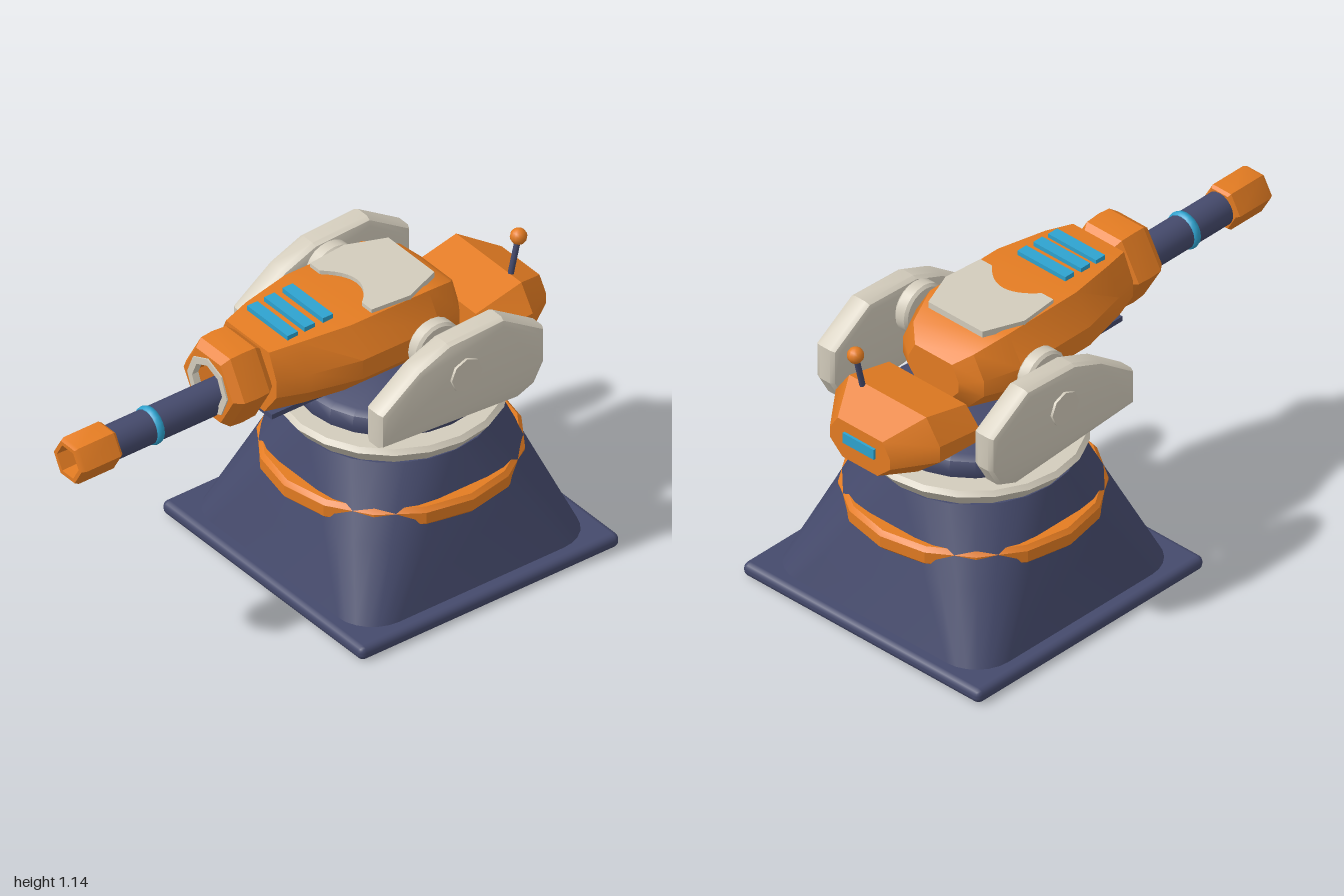
import * as THREE from 'three';
import { toCreasedNormals } from 'three/addons/utils/BufferGeometryUtils.js';
import { RoundedBoxGeometry } from 'three/addons/geometries/RoundedBoxGeometry.js';

const mat = (name, color) => {
  const m = new THREE.MeshStandardMaterial({ color });
  m.name = name;
  return m;
};

// Skin between 2D rings placed along z, closed at both ends.
function loft(sections, crease = 0.5) {
  const pos = [], idx = [], n = sections[0].ring.length;
  sections.forEach(({ z, ring }) => ring.forEach(([x, y]) => pos.push(x, y, z)));
  for (let s = 0; s < sections.length - 1; s++) {
    for (let i = 0; i < n; i++) {
      const a = s * n + i, b = s * n + (i + 1) % n;
      idx.push(a, b, b + n, a, b + n, a + n);
    }
  }
  const top = (sections.length - 1) * n;
  for (let i = 1; i < n - 1; i++) idx.push(0, i + 1, i, top, top + i, top + i + 1);
  const g = new THREE.BufferGeometry();
  g.setAttribute('position', new THREE.Float32BufferAttribute(pos, 3));
  g.setIndex(idx);
  return toCreasedNormals(g, crease);
}

// Counterclockwise square of half size h with rounded corners of radius r.
function roundedSquare(h, r, steps = 6) {
  const ring = [];
  for (let c = 0; c < 4; c++) {
    const mid = Math.PI / 4 + c * Math.PI / 2;
    for (let i = 0; i <= steps; i++) {
      const a = c * Math.PI / 2 + (i / steps) * Math.PI / 2;
      ring.push([Math.sign(Math.cos(mid)) * (h - r) + r * Math.cos(a),
        Math.sign(Math.sin(mid)) * (h - r) + r * Math.sin(a)]);
    }
  }
  return ring;
}

// Eight-sided hull section of half width w between heights y0 and y1.
function hullRing(w, y0, y1) {
  const half = [[0.58, 0], [1, 0.36], [1, 0.62], [0.74, 1]];
  const right = half.map(([x, y]) => [x * w, y0 + y * (y1 - y0)]);
  return [...right, ...right.map(([x, y]) => [-x, y]).reverse()];
}

const hull = (rows) => loft(rows.map(([z, w, y0, y1]) => ({ z, ring: hullRing(w, y0, y1) })));

// Turned part from [radius, height] points.
const turned = (points, sides, crease = 0.5) => toCreasedNormals(
  new THREE.LatheGeometry(points.map(([r, y]) => new THREE.Vector2(r, y)), sides), crease);

// Turned part pointing along z, with a corner on the x axis.
const turnedZ = (points, sides, crease) =>
  turned(points, sides, crease).rotateY(Math.PI / 2).rotateX(Math.PI / 2);

export function createModel() {
  const model = new THREE.Group();
  model.name = 'turret';
  const navy = mat('navy', 0x454a6c);
  const orange = mat('orange', 0xe47c22);
  const cream = mat('cream', 0xd3ccbc);
  const cyan = mat('cyan', 0x2ea3cf);
  const add = (name, geometry, material, x = 0, y = 0, z = 0) => {
    const mesh = new THREE.Mesh(geometry, material);
    mesh.name = name;
    mesh.position.set(x, y, z);
    model.add(mesh);
    return mesh;
  };
  const baseZ = -0.42;

  // Base and pedestal
  add('basePlate', new RoundedBoxGeometry(1.14, 0.055, 1.14, 2, 0.024), navy, 0, 0.0275, baseZ);
  add('pedestal', loft([
    { z: 0.05, ring: roundedSquare(0.515, 0.15) },
    { z: 0.3, ring: roundedSquare(0.442, 0.255) },
    { z: 0.552, ring: roundedSquare(0.37, 0.36) },
  ]).rotateX(-Math.PI / 2), navy, 0, 0, baseZ);
  add('pedestalBand', turned([
    [0.39, 0.335], [0.455, 0.335], [0.47, 0.35], [0.47, 0.395], [0.455, 0.412], [0.39, 0.412],
  ], 16, 0.3), orange, 0, 0, baseZ);
  add('collarRing', turned([
    [0.29, 0.55], [0.366, 0.55], [0.41, 0.607], [0.395, 0.625], [0.31, 0.625], [0.29, 0.55],
  ], 20), cream, 0, 0, baseZ);
  add('turntable', turned([
    [0, 0.645], [0.345, 0.645], [0.352, 0.672], [0.342, 0.71], [0.315, 0.726], [0, 0.726],
  ], 24, 0.8), navy, 0, 0, baseZ);

  // Main body
  add('body', hull([
    [-0.62, 0.12, 0.87, 1.03], [-0.57, 0.195, 0.835, 1.075], [-0.44, 0.255, 0.82, 1.118],
    [-0.1, 0.255, 0.82, 1.12], [0.1, 0.205, 0.825, 1.112], [0.21, 0.165, 0.835, 1.1],
  ]), orange);
  add('bellyPlate', new THREE.BoxGeometry(0.25, 0.02, 0.6), navy, 0, 0.822, -0.1);

  // Roof panel, notched at its front edge
  const roof = new THREE.Shape();
  roof.moveTo(-0.13, 0.51);
  roof.lineTo(-0.19, 0.36);
  roof.lineTo(-0.175, 0.2);
  roof.lineTo(-0.12, 0.2);
  roof.quadraticCurveTo(0, 0.34, 0.12, 0.2);
  roof.lineTo(0.175, 0.2);
  roof.lineTo(0.19, 0.36);
  roof.lineTo(0.13, 0.51);
  const roofGeo = new THREE.ExtrudeGeometry(roof, { depth: 0.025, bevelEnabled: false });
  add('roofPanel', roofGeo.rotateX(-Math.PI / 2), cream, 0, 1.11, 0);
  [-0.055, 0.025, 0.1].forEach((z, i) =>
    add('roofVent', new THREE.BoxGeometry(0.23, 0.024, 0.045), cyan, 0, 1.125 - i * 0.004, z));

  // Rear housing with its light and antenna
  add('rearHousing', hull([
    [-0.99, 0.145, 0.745, 0.9], [-0.85, 0.25, 0.722, 0.972], [-0.65, 0.25, 0.735, 0.925],
  ]), orange);
  add('rearLight', new THREE.BoxGeometry(0.15, 0.042, 0.02), cyan, 0, 0.835, -0.99);
  const foot = new THREE.Vector3(0.115, 0.95, -0.853), tip = new THREE.Vector3(0.115, 1.112, -0.892);
  add('antennaRod', new THREE.TubeGeometry(new THREE.LineCurve3(foot, tip), 1, 0.011, 8), navy);
  add('antennaBall', new THREE.SphereGeometry(0.031, 12, 8), orange, tip.x, tip.y, tip.z);

  // Hollow gun mount, barrel and muzzle
  add('gunMount', turnedZ([
    [0, 0.21], [0.14, 0.21], [0.166, 0.24], [0.17, 0.3], [0.166, 0.35], [0.14, 0.382],
    [0.105, 0.382], [0.095, 0.29], [0, 0.29],
  ], 6), orange, 0, 0.968, 0);
  add('mountRing', turnedZ([
    [0.085, 0.36], [0.113, 0.36], [0.113, 0.388], [0.085, 0.388], [0.085, 0.36],
  ], 8), cream, 0, 0.968, 0);
  add('barrel', turnedZ([[0, 0.25], [0.065, 0.25], [0.065, 0.86], [0, 0.86]], 20), navy, 0, 0.91, 0);
  add('barrelBand', turnedZ([
    [0.06, 0.623], [0.069, 0.626], [0.073, 0.64], [0.069, 0.654], [0.06, 0.657],
  ], 20, 1), cyan, 0, 0.91, 0);
  add('muzzle', turnedZ([
    [0, 0.82], [0.078, 0.82], [0.087, 0.832], [0.087, 0.985], [0.079, 1],
    [0.062, 1], [0.056, 0.9], [0, 0.9],
  ], 6), orange, 0, 0.91, 0);

  // Side shields, hubs and pivot discs on both sides
  const outline = [[-0.05, 0.74], [-0.05, 0.88], [-0.215, 1], [-0.35, 1.055], [-0.59, 1.066],
    [-0.77, 0.95], [-0.77, 0.81], [-0.725, 0.73], [-0.65, 0.7]];
  const shieldShape = new THREE.Shape(outline.map(([z, y]) => new THREE.Vector2(z, y)));
  const shieldGeo = toCreasedNormals(new THREE.ExtrudeGeometry(shieldShape, {
    depth: 0.05, bevelThickness: 0.025, bevelSize: 0.028, bevelOffset: -0.028, bevelSegments: 2,
  }).translate(0, 0, -0.025).rotateY(-Math.PI / 2), 0.5);
  const discX = (r, width, sides) =>
    new THREE.CylinderGeometry(r, r, width, sides).rotateZ(Math.PI / 2);
  const pivot = turned([
    [0, -0.03], [0.09, -0.03], [0.1, -0.02], [0.1, 0.02], [0.09, 0.03], [0, 0.03],
  ], 20).rotateZ(Math.PI / 2);
  for (const side of [1, -1]) {
    add('sideShield', shieldGeo, cream, side * 0.38, 0, 0);
    add('shieldHub', discX(0.067, 0.03, 8), cream, side * 0.425, 0.91, -0.415);
    add('pivotDisc', pivot, cream, side * 0.292, 0.97, -0.385);
    add('pivotLight', discX(0.045, 0.03, 12), cyan, side * 0.25, 0.97, -0.355);
  }
  return model;
}
